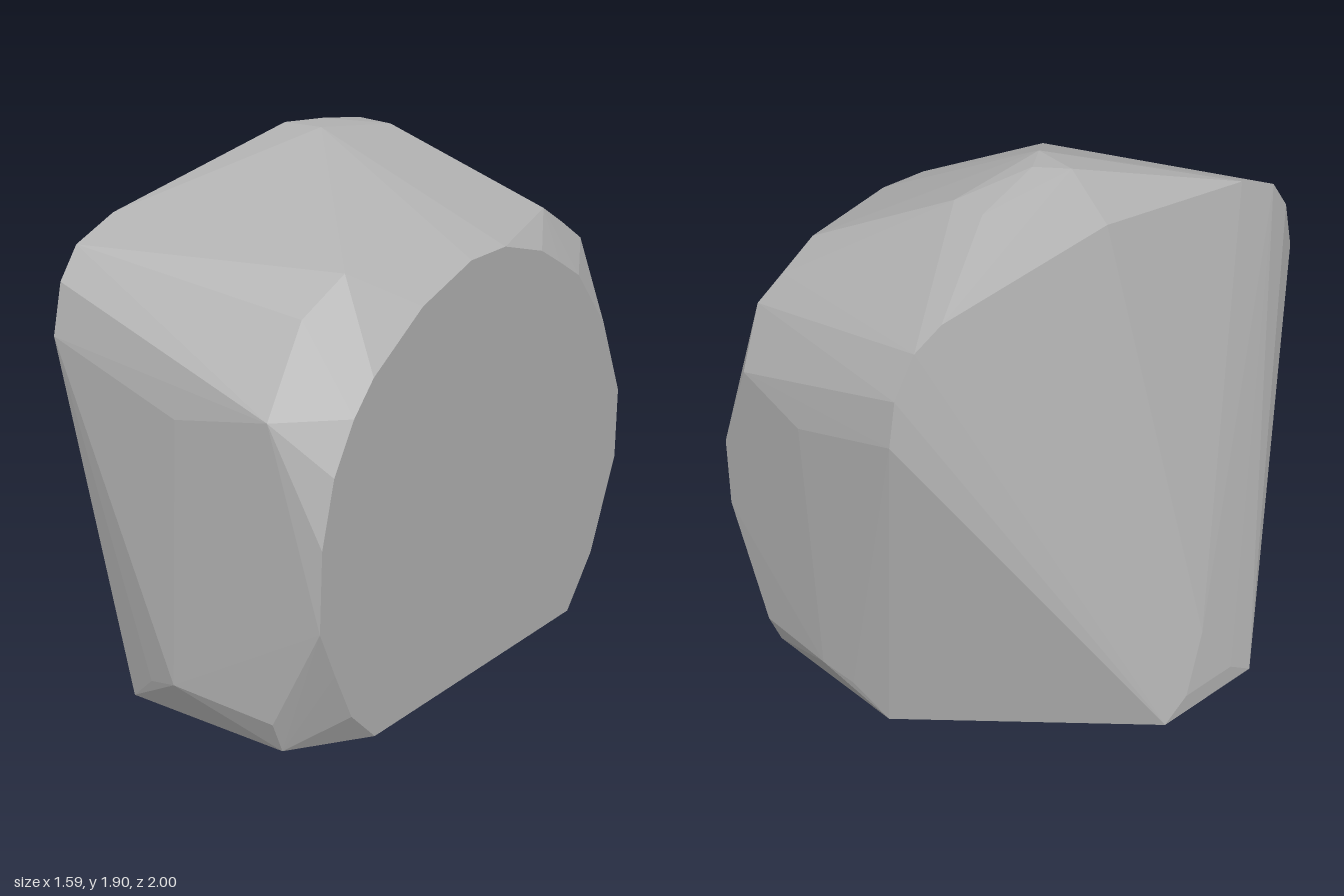
import * as THREE from 'three';
import { ConvexGeometry } from 'three/addons/geometries/ConvexGeometry.js';

export function createModel() {
  const group = new THREE.Group();
  group.name = 'boulder';
  const stone = new THREE.MeshStandardMaterial({ color: 0xb0b0b0, flatShading: true });
  stone.name = 'grey stone';

  const points = [];
  const add = (x, y, z) => points.push(new THREE.Vector3(x, y, z));
  const mirrored = (x, y, z) => { add(x, y, z); add(x, y, -z); };

  // Flat rounded side at +x, as [z, y] outline
  for (const [z, y] of [
    [0.6, 0.01], [0.73, 0.14], [0.82, 0.33], [0.9, 0.51], [0.89, 0.8], [0.83, 1.03],
    [0.73, 1.2], [0.63, 1.31], [0.37, 1.48], [0.1, 1.57], [-0.1, 1.57], [-0.33, 1.5],
    [-0.45, 1.43], [-0.58, 1.35], [-0.77, 1.12], [-0.9, 0.82], [-0.9, 0.55],
    [-0.76, 0.2], [-0.61, 0.01],
  ]) add(0.79, y, z);

  // Arched ridge above the sloping -x side, as [z, y]
  for (const [z, y] of [
    [1, 1.32], [0.96, 1.5], [0.88, 1.61], [0.7, 1.68], [0, 1.75],
    [-0.76, 1.66], [-0.88, 1.6], [-0.97, 1.46], [-1, 1.3],
  ]) add(-0.26, y, z);

  // Peak
  add(-0.07, 1.89, 0.02);
  add(0.1, 1.9, 0.03);
  add(0.02, 1.9, -0.08);
  add(0.11, 1.84, -0.36);
  add(-0.04, 1.84, -0.37);

  // Shoulders
  add(0.61, 1.6, 0.55);
  add(0.57, 1.48, 0.72);
  add(0.65, 1.58, -0.55);
  add(0.64, 1.49, -0.7);
  add(0.65, 1.41, -0.81);
  mirrored(0.6, 1.2, 0.93);
  mirrored(0.25, 1.14, 0.975);

  // Lower bevel and base
  mirrored(0.21, 0.16, 0.965);
  mirrored(0.08, 0.12, 0.935);
  mirrored(0.6, 0.12, 0.91);
  mirrored(0.6, 0, 0.86);
  mirrored(-0.05, 0, 0.885);

  // Narrow foot at -x
  mirrored(-0.8, 0.03, 0.23);
  mirrored(-0.8, 0.1, 0.12);
  add(-0.76, 0.3, 0);

  const body = new THREE.Mesh(new ConvexGeometry(points), stone);
  body.name = 'boulderBody';
  group.add(body);
  return group;
}
